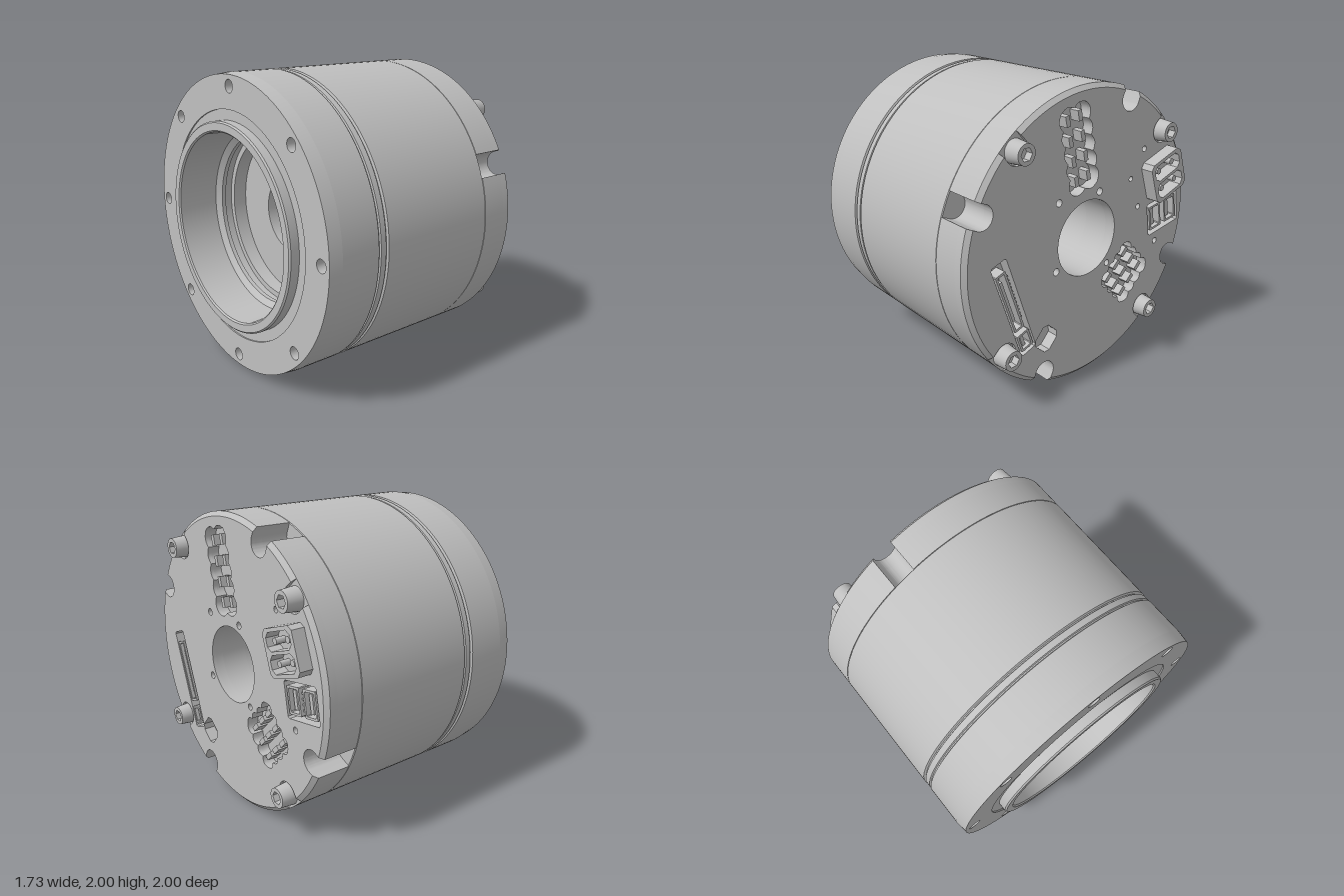
import * as THREE from 'three';
import { toCreasedNormals } from 'three/addons/utils/BufferGeometryUtils.js';

const V = (x, y) => new THREE.Vector2(x, y);
const TAU = Math.PI * 2;

// rectangle with cut corners
function rect(w, h, c = 0.012) {
  const a = w / 2, b = h / 2;
  return [V(a - c, -b), V(a, c - b), V(a, b - c), V(a - c, b), V(c - a, b), V(-a, b - c), V(-a, c - b), V(c - a, -b)];
}

// rectangle whose sides bulge in nx and ny scallops
function scalloped(w, h, nx, ny, amp = 0.022) {
  const a = w / 2, b = h / 2, pts = [];
  const corners = [V(a, -b), V(a, b), V(-a, b), V(-a, -b)];
  corners.forEach((p, i) => {
    const q = corners[(i + 1) % 4], n = i % 2 ? nx : ny, steps = n * 6;
    const dir = q.clone().sub(p).normalize();
    for (let s = 0; s < steps; s++) {
      const bump = amp * Math.abs(Math.sin(Math.PI * n * s / steps));
      pts.push(p.clone().lerp(q, s / steps).add(V(dir.y, -dir.x).multiplyScalar(bump)));
    }
  });
  return pts;
}

function disc(r, n = 24) {
  return Array.from({ length: n }, (_, i) => V(r * Math.cos(i / n * TAU), r * Math.sin(i / n * TAU)));
}

const place = (pts, x, y, turn = 0) => pts.map(p => p.clone().rotateAround(V(0, 0), turn).add(V(x, y)));

// slab between two heights; rim = { z, r, to } pulls the outer edge in as a chamfer
function slab(outline, holes, z0, z1, rim) {
  const shape = outline instanceof THREE.Shape ? outline : new THREE.Shape(outline);
  holes.forEach(h => shape.holes.push(new THREE.Path(h)));
  const g = new THREE.ExtrudeGeometry(shape, { depth: z1 - z0, bevelEnabled: false, curveSegments: 16 });
  g.translate(0, 0, z0);
  if (rim) {
    const p = g.attributes.position;
    for (let i = 0; i < p.count; i++) {
      const r = Math.hypot(p.getX(i), p.getY(i));
      if (Math.abs(p.getZ(i) - rim.z) < 1e-4 && r > rim.r) {
        p.setXY(i, p.getX(i) * rim.to / r, p.getY(i) * rim.to / r);
      }
    }
  }
  return toCreasedNormals(g, 0.5);
}

// unit disc with round-ended notches cut in from the edge
function notchedDisc(notches) {
  const s = new THREE.Shape();
  const list = [...notches].sort((p, q) => p.a - q.a);
  list.forEach((n, i) => {
    const next = list[(i + 1) % list.length];
    s.absarc(n.c * Math.cos(n.a), n.c * Math.sin(n.a), n.r, n.a - Math.PI / 2, n.a - Math.PI * 1.5, true);
    const end = next.a + (i === list.length - 1 ? TAU : 0) - Math.asin(next.r);
    s.absarc(0, 0, 1, n.a + Math.asin(n.r), end, false);
  });
  s.closePath();
  return s;
}

export function createModel() {
  const grey = new THREE.MeshStandardMaterial({ color: 0xbfbfbf });
  grey.name = 'satin grey';
  const root = new THREE.Group();
  root.name = 'actuator';

  // everything is built along z, then turned so that z becomes +x
  const axis = new THREE.Group();
  axis.name = 'motorAssembly';
  axis.rotation.y = Math.PI / 2;
  axis.position.y = 1;
  root.add(axis);
  const add = (name, geometry, x = 0, y = 0, z = 0, parent = axis) => {
    const m = new THREE.Mesh(geometry, grey);
    m.name = name;
    m.position.set(x, y, z);
    parent.add(m);
  };
  const addGroup = (name, x, y, turn) => {
    const g = new THREE.Group();
    g.name = name;
    g.position.set(x, y, 0);
    g.rotation.z = turn;
    axis.add(g);
    return g;
  };

  // housing with stepped output bore, boss and ring groove
  const profile = [
    [0.26, -0.36], [0.56, -0.36], [0.56, -0.46], [0.6, -0.46], [0.6, -0.52], [0.58, -0.52], [0.58, -0.55],
    [0.62, -0.58], [0.63, -0.86], [0.64, -0.87], [0.69, -0.87], [0.7, -0.86], [0.7, -0.8], [0.77, -0.8],
    [0.77, -0.72], [1, -0.72], [1, -0.445], [0.985, -0.438], [0.985, -0.43], [0.996, -0.425], [0.996, -0.385],
    [0.985, -0.38], [0.985, -0.373], [1, -0.366], [1, 0.505], [0.994, 0.51], [0.26, 0.51], [0.26, -0.36],
  ].map(([r, y]) => V(r, y));
  const housing = new THREE.LatheGeometry(profile, 128);
  housing.rotateX(Math.PI / 2);
  add('housing', toCreasedNormals(housing, 0.4));

  // mounting flange with eight holes
  const boltHoles = Array.from({ length: 8 }, (_, i) =>
    place(disc(0.043), 0.917 * Math.cos(i * TAU / 8), 0.917 * Math.sin(i * TAU / 8)));
  add('mountingFlange', slab(disc(1, 128), [disc(0.77, 96), ...boltHoles], -0.81, -0.72, { z: -0.81, r: 0.99, to: 0.99 }));

  // end cap: base, pocketed layer and chamfered face
  const quarter = (deg, c, r) => [0, 1, 2, 3].map(i => ({ a: THREE.MathUtils.degToRad(deg + 90 * i), c, r }));
  const slots = quarter(-22.5, 0.93, 0.08);
  const screws = quarter(41, 0.914, 0.085);
  const bore = disc(0.26, 64);
  const clusters = [
    { x: -0.096, y: 0.61, w: 0.22, h: 0.54, nx: 2, ny: 5, cols: 2, rows: 4, turn: 0.225 },
    { x: 0.39, y: -0.365, w: 0.32, h: 0.32, nx: 4, ny: 4, cols: 3, rows: 3, turn: -Math.PI / 4 },
  ];
  const longPocket = [-0.62, -0.3, 0.35], pairPocket = [0.765, -0.01, 0.17];
  const pockets = [
    bore,
    ...clusters.map(c => place(scalloped(c.w, c.h, c.nx, c.ny), c.x, c.y, c.turn)),
    place(rect(0.125, 0.72), ...longPocket),
    place(rect(0.32, 0.24), ...pairPocket),
    place(rect(0.16, 0.16, 0.03), -0.345, -0.61, 0.85),
    ...[[0.1, 0.295, 0.025], [-0.27, -0.16, 0.025], [0.2, -0.235, 0.022], [-0.26, 0.3, 0.024], [0.52, 0.5, 0.02],
      [0.4, 0.315, 0.018], [0.49, 0.1, 0.02], [0.7, -0.21, 0.022]].map(([x, y, r]) => place(disc(r, 16), x, y)),
  ];
  add('capBase', slab(notchedDisc(slots), [bore], 0.51, 0.69));
  add('capPocketLayer', slab(notchedDisc(slots), pockets, 0.69, 0.745));
  add('capFace', slab(notchedDisc([...slots, ...screws]), pockets, 0.745, 0.77, { z: 0.77, r: 0.97, to: 0.97 }));

  // hex socket screws
  const head = slab(disc(0.075, 32), [disc(0.043, 6)], 0.745, 0.85, { z: 0.85, r: 0.07, to: 0.066 });
  const socketFloor = slab(disc(0.06), [], 0.745, 0.8);
  for (const { a, c } of screws) {
    add('screwHead', head, c * Math.cos(a), c * Math.sin(a));
    add('screwSocketFloor', socketFloor, c * Math.cos(a), c * Math.sin(a));
  }

  // pin blocks in the scalloped pockets
  const pin = new THREE.BoxGeometry(0.032, 0.07, 0.07);
  for (const c of clusters) {
    const block = addGroup('pinBlock', c.x, c.y, c.turn);
    for (let i = 0; i < c.cols; i++) for (let j = 0; j < c.rows; j++) {
      add('pin', pin, (i - (c.cols - 1) / 2) * 0.105, (j - (c.rows - 1) / 2) * c.h / c.rows, 0.725, block);
    }
  }

  // raised power connector with two bays and four round pins
  const power = addGroup('powerConnector', 0.69, 0.3, 0.33);
  const bays = [-0.068, 0.068].map(y => place(rect(0.25, 0.115, 0.03), 0, y));
  add('powerShell', slab(rect(0.31, 0.3, 0.03), bays, 0.77, 0.86), 0, 0, 0, power);
  const powerPin = slab(disc(0.021, 16), [], 0.77, 0.84);
  for (const x of [-0.068, 0.068]) for (const y of [-0.068, 0.068]) add('powerPin', powerPin, x, y, 0, power);

  // sockets sunk in the pockets: open frame, tongue and contacts
  function socket(name, [px, py, turn], dx, dy, w, h, contacts) {
    const p = V(dx, dy).rotateAround(V(0, 0), turn);
    const g = addGroup(name, px + p.x, py + p.y, turn);
    add('socketFrame', slab(rect(w, h, 0.005), [rect(w - 0.03, h - 0.03, 0.005)], 0.69, 0.768), 0, 0, 0, g);
    add('socketTongue', new THREE.BoxGeometry(w * 0.25, h * 0.7, 0.06), -w * 0.08, 0, 0.72, g);
    const contact = new THREE.BoxGeometry(0.02, 0.012, 0.06);
    for (let i = 0; i < contacts; i++) {
      add('contact', contact, w / 2 + 0.008, ((i + 0.5) / contacts - 0.5) * h * 0.8, 0.72, g);
    }
  }
  socket('signalSocket', longPocket, -0.01, 0.06, 0.08, 0.45, 12);
  socket('smallSocket', longPocket, 0, -0.27, 0.1, 0.13, 3);
  socket('busSocketA', pairPocket, -0.08, 0, 0.12, 0.18, 4);
  socket('busSocketB', pairPocket, 0.08, 0, 0.12, 0.18, 4);

  return root;
}
